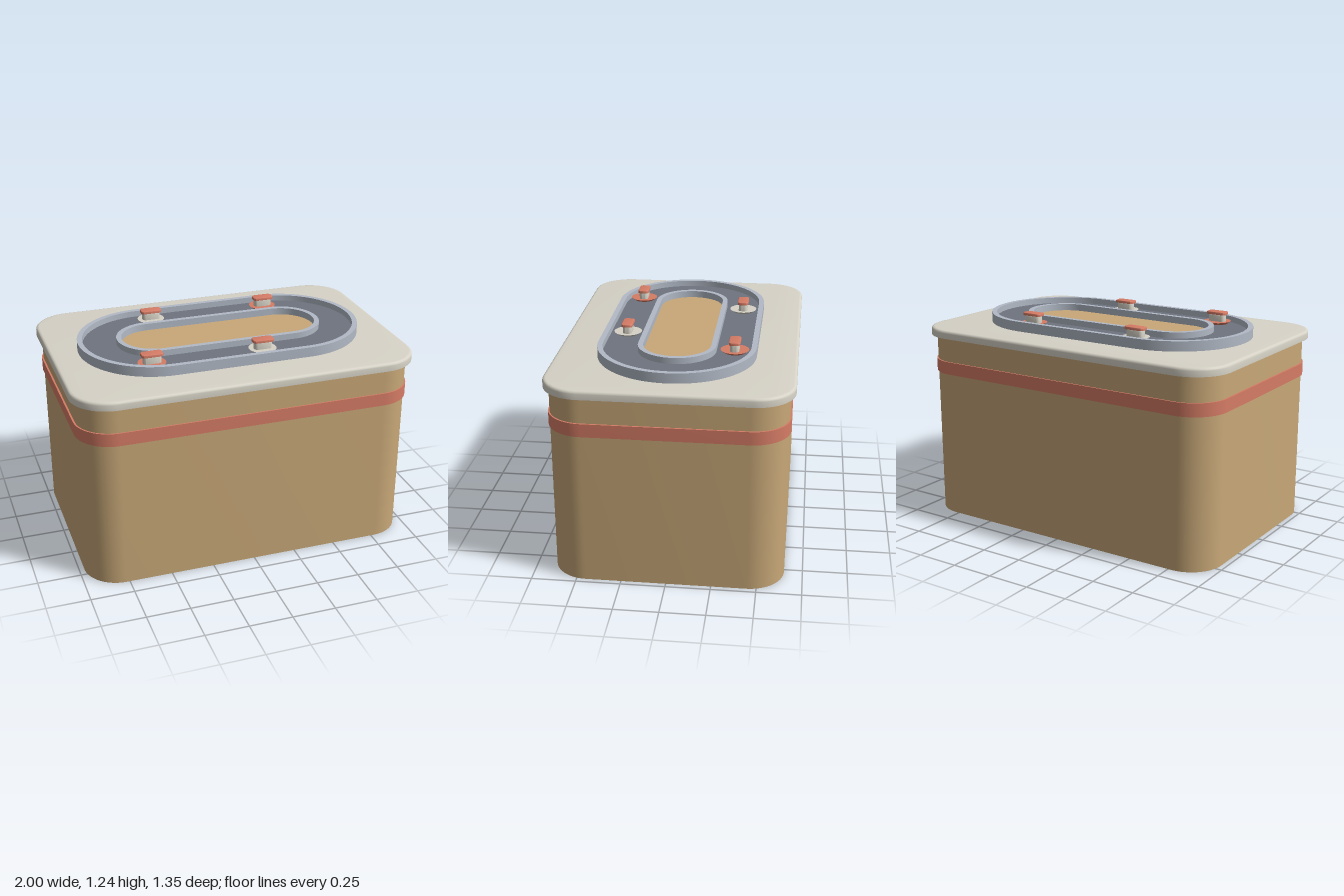
import * as THREE from 'three';
import { toCreasedNormals } from 'three/addons/utils/BufferGeometryUtils.js';

const mat = (name, color) => {
  const m = new THREE.MeshStandardMaterial({ color });
  m.name = name;
  return m;
};

// Rounded rectangle outline with half sizes hx, hz and corner radius r
function outline(hx, hz, r, Type = THREE.Shape) {
  const s = new Type();
  const x = hx - r, z = hz - r, q = Math.PI / 2;
  s.absarc(x, z, r, 0, q);
  s.absarc(-x, z, r, q, 2 * q);
  s.absarc(-x, -z, r, 2 * q, 3 * q);
  s.absarc(x, -z, r, 3 * q, 4 * q);
  s.closePath();
  return s;
}

// Upright prism from y0 to y1, with an optional rounded top edge
function prism(shape, y0, y1, bevel = 0) {
  const g = new THREE.ExtrudeGeometry(shape, {
    depth: y1 - y0 - bevel, curveSegments: 10, bevelEnabled: bevel > 0,
    bevelThickness: bevel, bevelSize: bevel, bevelOffset: -bevel, bevelSegments: 3,
  });
  g.rotateX(-Math.PI / 2).translate(0, y0, 0);
  // keep the underside flat
  const p = g.attributes.position;
  for (let i = 0; i < p.count; i++) p.setY(i, Math.max(p.getY(i), y0));
  return toCreasedNormals(g, 0.6);
}

export function createModel() {
  const wood = mat('wood', 0xc8a878);
  const cream = mat('cream', 0xd6d2c6);
  const coral = mat('coral', 0xd67c66);
  const belt = mat('belt grey', 0x6f7480);
  const steel = mat('steel', 0xb2bac6);

  const model = new THREE.Group();
  model.name = 'conveyorCounter';
  const add = (parent, name, geometry, material) => {
    const m = new THREE.Mesh(geometry, material);
    m.name = name;
    parent.add(m);
    return m;
  };

  // Counter
  add(model, 'counterBody', prism(outline(0.97, 0.647, 0.2), 0, 1.1), wood);
  add(model, 'trimBand', prism(outline(0.98, 0.655, 0.21), 0.875, 0.95), coral);
  add(model, 'counterTop', prism(outline(1, 0.675, 0.22), 1.095, 1.143, 0.016), cream);

  // Oval conveyor track: two rails, the belt between them and the wooden island
  const oval = (r, Type) => outline(0.395 + r, r, r, Type);
  const ring = (outer, inner) => {
    const s = oval(outer);
    s.holes.push(oval(inner, THREE.Path));
    return s;
  };
  add(model, 'outerRail', prism(ring(0.445, 0.415), 1.14, 1.2), steel);
  add(model, 'innerRail', prism(ring(0.22, 0.19), 1.14, 1.2), steel);
  add(model, 'conveyorBelt', prism(ring(0.418, 0.217), 1.14, 1.165), belt);
  add(model, 'centreIsland', prism(oval(0.193), 1.14, 1.16), wood);

  // Served plates
  const plateGeo = new THREE.CylinderGeometry(0.08, 0.06, 0.015, 24);
  const riceGeo = prism(outline(0.052, 0.026, 0.02), 0, 0.045, 0.008);
  const toppingGeo = prism(outline(0.062, 0.032, 0.02), 0, 0.016, 0.004);
  const servings = [
    [-0.497, 0.315, coral], [0.153, 0.315, cream],
    [-0.328, -0.322, cream], [0.388, -0.322, coral],
  ];
  for (const [x, z, colour] of servings) {
    const serving = new THREE.Group();
    serving.name = 'serving';
    serving.position.set(x, 1.165, z);
    add(serving, 'plate', plateGeo, colour).position.y = 0.0075;
    add(serving, 'rice', riceGeo, cream).position.y = 0.014;
    add(serving, 'topping', toppingGeo, coral).position.y = 0.056;
    model.add(serving);
  }
  return model;
}
